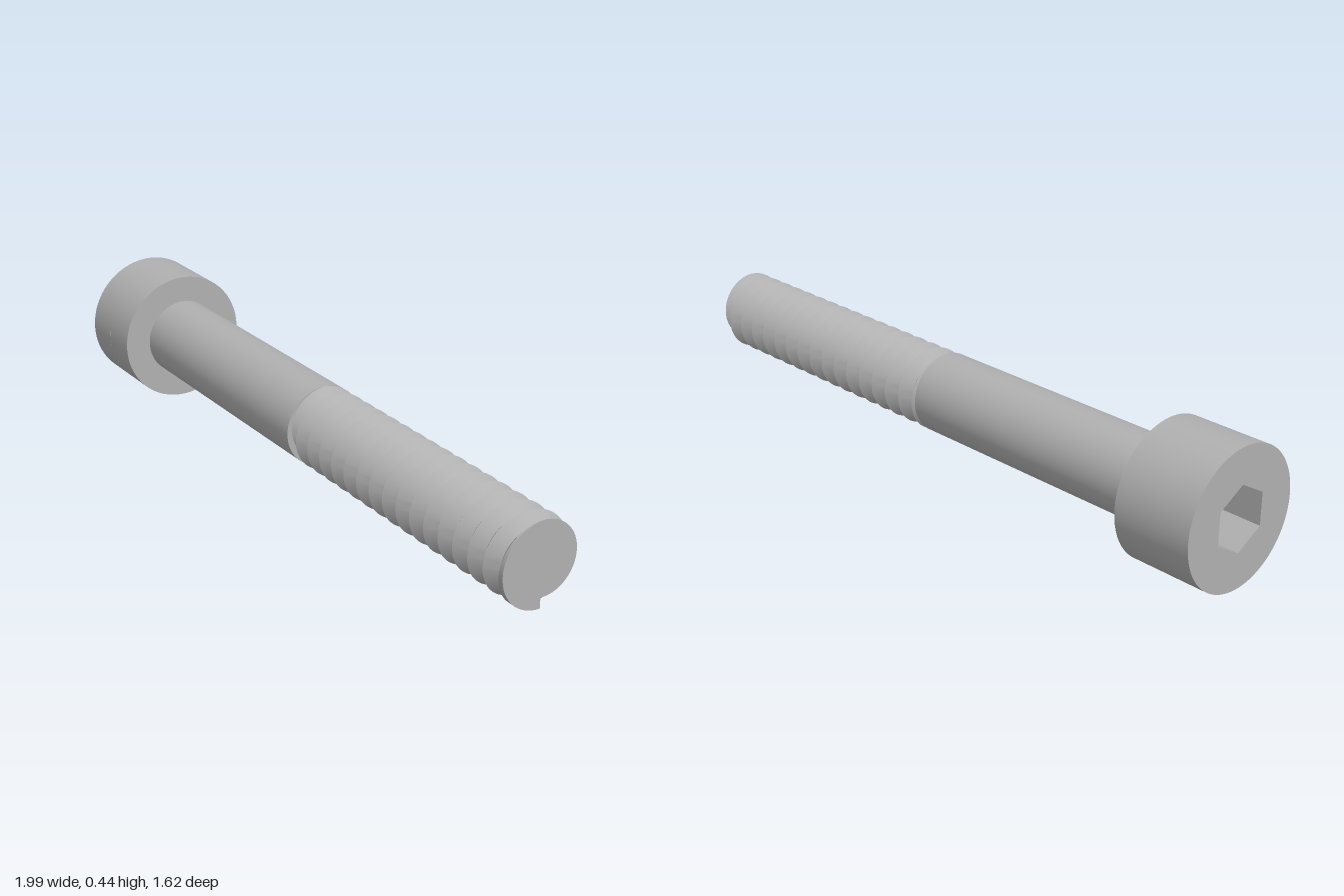
import * as THREE from 'three';
import { toCreasedNormals } from 'three/addons/utils/BufferGeometryUtils.js';

const HALF = 1.118;          // half the bolt length, along local z
const HEAD_R = 0.218, HEAD_H = 0.26, SOCKET_R = 0.104, SOCKET_DEPTH = 0.13;
const R = 0.13, DEPTH = 0.033, TURNS = 16, THREAD_LEN = 1.05;
const SEG = 64;

// Solid cylinder along z between two stations
function rod(radius, z0, z1) {
  return new THREE.CylinderGeometry(radius, radius, z1 - z0, SEG)
    .rotateX(Math.PI / 2).translate(0, 0, (z0 + z1) / 2);
}

// Upper head: round with a hexagonal hole, corners up and down
function socketGeometry() {
  const shape = new THREE.Shape().absarc(0, 0, HEAD_R, 0, Math.PI * 2, false);
  const hex = [];
  for (let i = 0; i < 6; i++) {
    const a = Math.PI / 2 - i * Math.PI / 3;
    hex.push(new THREE.Vector2(SOCKET_R * Math.cos(a), SOCKET_R * Math.sin(a)));
  }
  shape.holes.push(new THREE.Path(hex));
  const g = new THREE.ExtrudeGeometry(shape, { depth: SOCKET_DEPTH, bevelEnabled: false, curveSegments: SEG });
  return toCreasedNormals(g.translate(0, 0, -HALF), 0.5);
}

// V-groove helix: rows follow the roots and crests, clipped by both end planes
function threadGeometry() {
  const pitch = THREAD_LEN / TURNS, pos = [], index = [];
  const rows = 2 * TURNS + 3;
  for (let i = 0; i <= SEG; i++) {
    const t = i / SEG, a = t * Math.PI * 2;
    for (let j = -2; j <= 2 * TURNS; j++) {
      const u = THREE.MathUtils.clamp(t + j / 2, 0, TURNS);
      const k = Math.max(0, Math.round(u - t));
      const r = R - DEPTH * Math.max(0, 1 - 2 * Math.abs(u - t - k));
      pos.push(r * Math.sin(a), -r * Math.cos(a), HALF - u * pitch);
    }
  }
  for (let i = 0; i < SEG; i++) {
    for (let j = 0; j < rows - 1; j++) {
      const a = i * rows + j, b = a + rows;
      index.push(a, a + 1, b, b, a + 1, b + 1);
    }
  }
  // Flat tip
  const centre = pos.length / 3;
  pos.push(0, 0, HALF);
  for (let i = 0; i < SEG; i++) index.push(centre, i * rows, (i + 1) * rows);
  // Small wall where the groove runs out at the tip
  pos.push(0, DEPTH - R, HALF, 0, -R, HALF, 0, -R, HALF - pitch / 2);
  index.push(centre + 1, centre + 2, centre + 3);

  const g = new THREE.BufferGeometry();
  g.setAttribute('position', new THREE.Float32BufferAttribute(pos, 3));
  g.setIndex(index);
  return toCreasedNormals(g, 0.5);
}

export function createModel() {
  const steel = new THREE.MeshStandardMaterial({ color: 0xb0b0b0 });
  steel.name = 'steel grey';

  const bolt = new THREE.Group();
  bolt.name = 'bolt';
  const add = (name, geometry) => {
    const mesh = new THREE.Mesh(geometry, steel);
    mesh.name = name;
    bolt.add(mesh);
  };

  add('headSocket', socketGeometry());
  add('headBase', rod(HEAD_R, -HALF + SOCKET_DEPTH, -HALF + HEAD_H));
  add('shank', rod(R, -HALF + HEAD_H, HALF - THREAD_LEN));
  add('thread', threadGeometry());

  // Lay the bolt diagonally, resting on the head
  bolt.rotation.y = Math.atan2(0.8, 0.6);
  bolt.position.set(0.026, HEAD_R, 0.035);

  const model = new THREE.Group();
  model.name = 'socketHeadBolt';
  model.add(bolt);
  return model;
}
